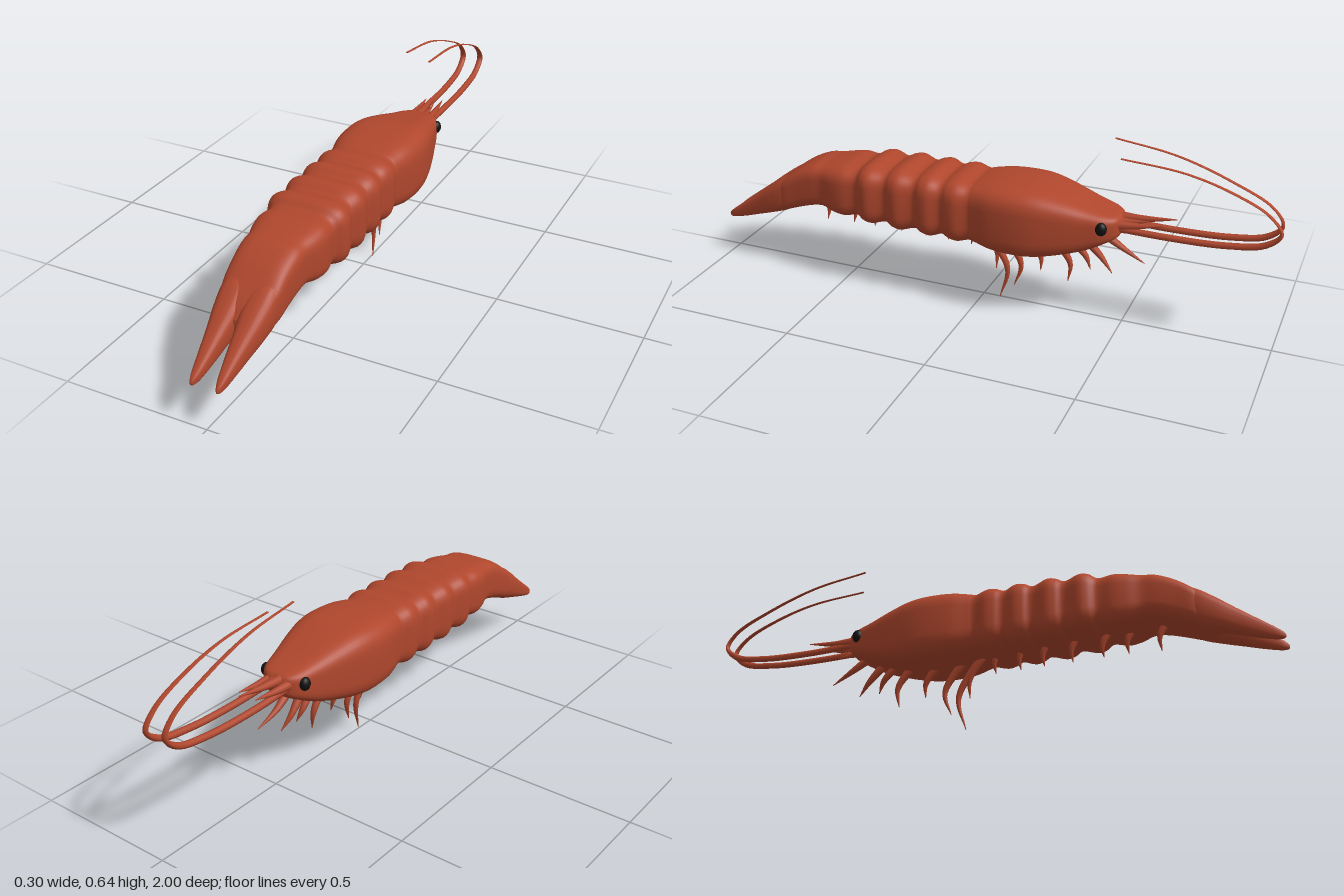
import * as THREE from 'three';

const shell = new THREE.MeshStandardMaterial({ color: 0xb0472d });
const black = new THREE.MeshStandardMaterial({ color: 0x111111 });

// Skin a list of rings (equal point counts) and close both ends with a centre point.
function skin(rings) {
  const n = rings[0].length, pos = [], idx = [];
  rings.forEach(r => r.forEach(p => pos.push(p.x, p.y, p.z)));
  for (let i = 0; i < rings.length - 1; i++) {
    for (let j = 0; j < n; j++) {
      const a = i * n + j, b = i * n + (j + 1) % n;
      idx.push(a, b, a + n, b, b + n, a + n);
    }
  }
  [0, rings.length - 1].forEach((k, end) => {
    const c = rings[k].reduce((s, p) => s.add(p), new THREE.Vector3()).divideScalar(n);
    const ci = pos.push(c.x, c.y, c.z) / 3 - 1;
    for (let j = 0; j < n; j++) {
      const a = k * n + j, b = k * n + (j + 1) % n;
      idx.push(...(end ? [ci, a, b] : [ci, b, a]));
    }
  });
  const g = new THREE.BufferGeometry();
  g.setAttribute('position', new THREE.Float32BufferAttribute(pos, 3));
  g.setIndex(idx);
  g.computeVertexNormals();
  return g;
}

// Rounded-box ring in the plane spanned by x and v.
function ring(c, v, rx, ry, power, n) {
  const e = 2 / power, pts = [];
  for (let j = 0; j < n; j++) {
    const a = (j / n) * Math.PI * 2, co = Math.cos(a), si = Math.sin(a);
    pts.push(c.clone().addScaledVector(v, ry * Math.sign(si) * Math.abs(si) ** e)
      .add(new THREE.Vector3(rx * Math.sign(co) * Math.abs(co) ** e, 0, 0)));
  }
  return pts;
}

// Loft along z through stations [z, bottom, top, left edge, right edge].
function loft(stations, power, n, steps) {
  const at = (i, j) => new THREE.SplineCurve(stations.map(s => new THREE.Vector2(s[i], s[j])));
  const height = at(1, 2), width = at(3, 4), along = at(0, 0), up = new THREE.Vector3(0, 1, 0);
  const rings = [];
  for (let k = 0; k <= steps; k++) {
    const t = k / steps, h = height.getPoint(t), w = width.getPoint(t);
    const c = new THREE.Vector3((w.x + w.y) / 2, (h.x + h.y) / 2, along.getPoint(t).x);
    rings.push(ring(c, up, Math.abs(w.y - w.x) / 2, Math.abs(h.y - h.x) / 2, power, n));
  }
  return skin(rings);
}

// Tapered limb along a curve; radius(t) returns [half width in x, half thickness].
function limb(points, radius, steps, n = 8) {
  const curve = new THREE.CatmullRomCurve3(points.map(p => new THREE.Vector3(...p)));
  const x = new THREE.Vector3(1, 0, 0), rings = [];
  for (let k = 0; k <= steps; k++) {
    const t = k / steps, [rx, ry] = radius(t);
    const v = curve.getTangent(t).cross(x).normalize();
    rings.push(ring(curve.getPoint(t), v, rx, ry, 2, n));
  }
  return skin(rings);
}

export function createModel() {
  const model = new THREE.Group();
  const add = (name, geometry, material = shell) => {
    const m = new THREE.Mesh(geometry, material);
    m.name = name;
    model.add(m);
    return m;
  };

  // Carapace, ringed abdomen and tail root: [z, bottom, top, half width]
  const body = [
    [-0.49, 0.345, 0.385, 0.025], [-0.475, 0.325, 0.4, 0.055], [-0.44, 0.305, 0.41, 0.08],
    [-0.38, 0.275, 0.425, 0.1], [-0.3, 0.25, 0.448, 0.125], [-0.22, 0.233, 0.466, 0.145],
    [-0.15, 0.228, 0.47, 0.152], [-0.07, 0.231, 0.467, 0.147], [-0.01, 0.242, 0.458, 0.132],
    [0.015, 0.246, 0.453, 0.128], [0.055, 0.237, 0.462, 0.139], [0.085, 0.24, 0.46, 0.136],
    [0.115, 0.249, 0.451, 0.126], [0.155, 0.238, 0.463, 0.139], [0.185, 0.242, 0.46, 0.136],
    [0.215, 0.252, 0.45, 0.125], [0.265, 0.24, 0.463, 0.14], [0.295, 0.244, 0.459, 0.136],
    [0.325, 0.256, 0.448, 0.125], [0.375, 0.246, 0.459, 0.141], [0.405, 0.25, 0.455, 0.136],
    [0.435, 0.262, 0.439, 0.12], [0.485, 0.252, 0.442, 0.126], [0.53, 0.256, 0.436, 0.12],
    [0.575, 0.267, 0.428, 0.107], [0.62, 0.262, 0.422, 0.105], [0.68, 0.243, 0.395, 0.101],
    [0.74, 0.222, 0.352, 0.096], [0.79, 0.21, 0.312, 0.07], [0.825, 0.212, 0.27, 0.025],
  ];
  add('body', loft(body.map(([z, b, t, w]) => [z, b, t, -w, w]), 4, 40, 174));

  // Forked tail: [z, bottom, top, inner edge, outer edge]
  const lobe = [
    [0.66, 0.26, 0.385, 0.01, 0.09], [0.74, 0.222, 0.352, 0.0, 0.096],
    [0.8, 0.2, 0.312, 0.0, 0.09], [0.86, 0.18, 0.266, 0.01, 0.078],
    [0.92, 0.16, 0.222, 0.019, 0.067], [0.97, 0.146, 0.185, 0.028, 0.058],
    [0.993, 0.144, 0.166, 0.036, 0.051], [1.0, 0.149, 0.156, 0.041, 0.046],
  ];
  add('tailLobeLeft', loft(lobe, 2.8, 24, 42));
  add('tailLobeRight', loft(lobe.map(([z, b, t, i, o]) => [z, b, t, -o, -i]), 2.8, 24, 42));

  // Eyes
  for (const s of [1, -1]) {
    const eye = add(s > 0 ? 'eyeLeft' : 'eyeRight', new THREE.SphereGeometry(0.021, 16, 12), black);
    eye.position.set(s * 0.079, 0.371, -0.435);
    eye.scale.set(0.8, 1.1, 0.95);
  }

  // Antennae sweeping forward, then curling back overhead as thin ribbons
  const feeler = t => {
    const thin = THREE.MathUtils.smoothstep(t, 0.35, 0.62);
    return [0.0115 - 0.0065 * Math.max(0, t - 0.5) * 2, 0.0115 - 0.0085 * thin - 0.001 * t];
  };
  add('antennaRight', limb([[-0.04, 0.36, -0.44], [-0.043, 0.354, -0.65], [-0.043, 0.362, -0.83],
    [-0.043, 0.385, -0.94], [-0.043, 0.43, -0.985], [-0.043, 0.485, -0.95], [-0.043, 0.55, -0.82],
    [-0.043, 0.61, -0.64], [-0.043, 0.64, -0.435]], feeler, 64));
  add('antennaLeft', limb([[0.028, 0.36, -0.44], [0.026, 0.356, -0.65], [0.026, 0.364, -0.83],
    [0.026, 0.387, -0.945], [0.026, 0.432, -0.992], [0.026, 0.488, -0.95], [0.026, 0.545, -0.83],
    [0.026, 0.585, -0.68], [0.026, 0.601, -0.475]], feeler, 64));

  // Pointed rostrum and antenna scales: base, tip, radius
  const spike = t => 1 - 0.93 * t ** 1.4;
  [
    ['rostrum', [-0.014, 0.38, -0.44], [-0.013, 0.405, -0.66], 0.018],
    ['shortSpike', [0.008, 0.378, -0.44], [0.006, 0.39, -0.575], 0.015],
    ['antennaScaleRight', [-0.042, 0.37, -0.44], [-0.043, 0.385, -0.62], 0.018],
    ['antennaScaleLeft', [0.03, 0.37, -0.44], [0.022, 0.39, -0.62], 0.018],
    ['lowerSpike', [-0.01, 0.345, -0.44], [-0.008, 0.335, -0.54], 0.014],
  ].forEach(([name, a, b, r]) => {
    const mid = [(a[0] + b[0]) / 2, (a[1] + b[1]) / 2 - 0.004, (a[2] + b[2]) / 2];
    add(name, limb([a, mid, b], t => [r * spike(t), r * spike(t)], 10));
  });

  // Walking legs along the midline: (z, y) of root, knee and tip
  [
    [0.0, 0.26, -0.085, 0.12, -0.062, 0.005], [-0.06, 0.26, -0.135, 0.145, -0.115, 0.065],
    [0.0, 0.26, -0.045, 0.18, -0.048, 0.115], [-0.15, 0.26, -0.205, 0.19, -0.21, 0.14],
    [-0.25, 0.27, -0.31, 0.185, -0.308, 0.12], [-0.31, 0.28, -0.365, 0.22, -0.385, 0.18],
    [-0.36, 0.29, -0.42, 0.225, -0.46, 0.18], [-0.42, 0.32, -0.49, 0.275, -0.567, 0.238],
  ].forEach(([z0, y0, z1, y1, z2, y2], i) => add('walkingLeg' + (i + 1),
    limb([[0, y0, z0], [-0.004, y1, z1], [0.006, y2, z2]],
      t => [0.016 * spike(t), 0.015 * spike(t)], 14)));

  // Swimmerets under the abdomen
  [0.605, 0.498, 0.415, 0.31, 0.212, 0.13, 0.042].forEach((z, i) => add('swimmeret' + (i + 1),
    limb([[0, 0.285, z + 0.028], [-0.006, 0.23, z + 0.002], [0.004, i ? 0.19 : 0.183, z + 0.004]],
      t => [0.016 * spike(t), 0.014 * spike(t)], 10)));

  return model;
}
